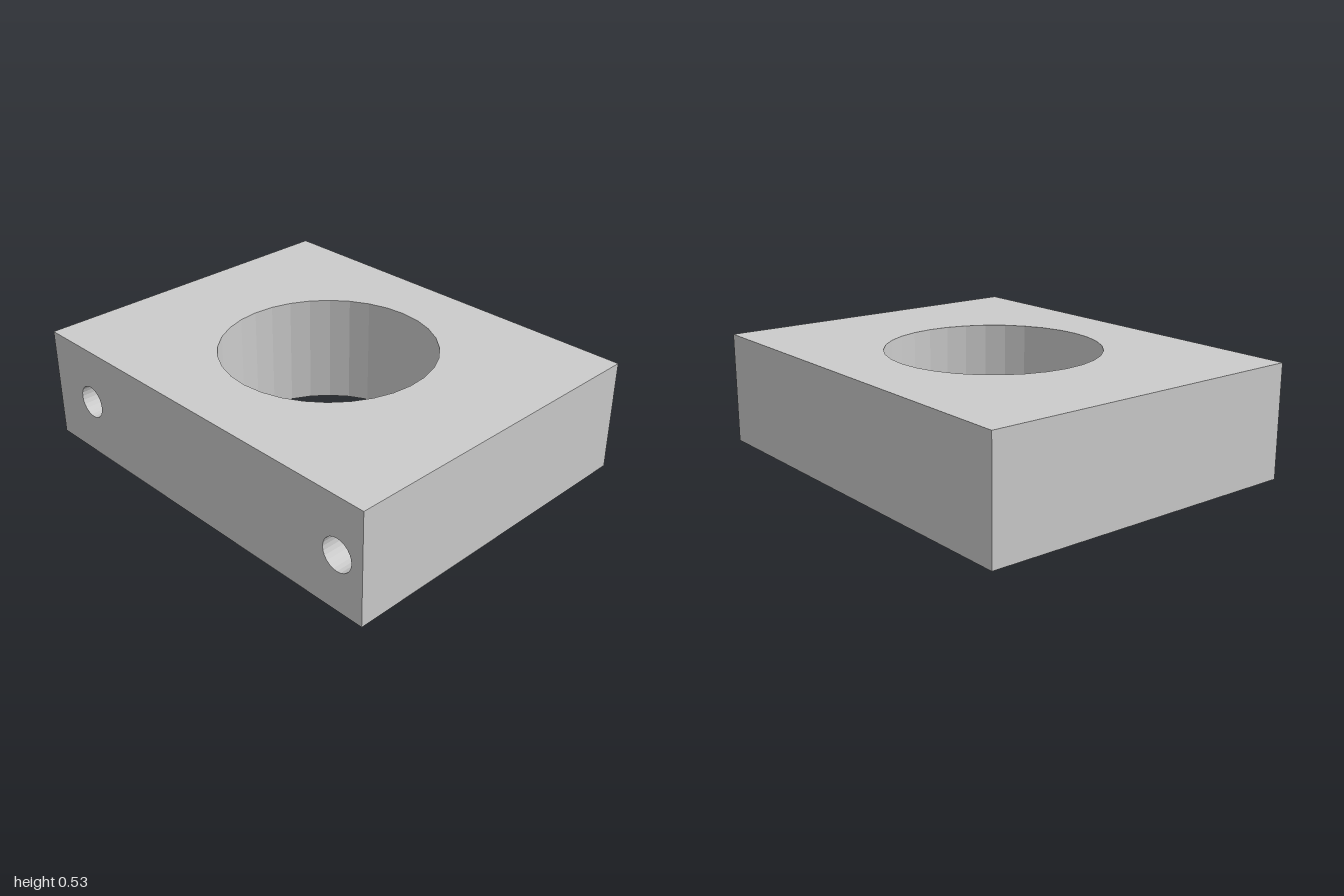
import * as THREE from 'three';

const W = 2, H = 0.533, D = 1.6;
const BORE = { r: 0.5, sides: 32 };
const PIN = { r: 0.077, sides: 24, depth: 0.67, y: H / 2, xs: [-0.735, 0.865] };

const material = new THREE.MeshStandardMaterial({ color: 0xcccccc, flatShading: true });

// Polygonal circle used as a hole outline
function circlePath(x, y, r, sides) {
  const points = [];
  for (let i = 0; i < sides; i++) {
    const a = (i / sides) * Math.PI * 2;
    points.push(new THREE.Vector2(x + r * Math.cos(a), y + r * Math.sin(a)));
  }
  return new THREE.Path(points);
}

// Flat rectangle centred on the origin, facing +z, with optional holes
function plate(w, h, holes = []) {
  const shape = new THREE.Shape([
    new THREE.Vector2(-w / 2, -h / 2), new THREE.Vector2(w / 2, -h / 2),
    new THREE.Vector2(w / 2, h / 2), new THREE.Vector2(-w / 2, h / 2),
  ]);
  shape.holes.push(...holes);
  return new THREE.ShapeGeometry(shape);
}

// Open cylinder along y whose faces look inward
function holeWall(r, length, sides) {
  const g = new THREE.CylinderGeometry(r, r, length, sides, 1, true).toNonIndexed();
  g.scale(-1, 1, 1);
  const p = g.attributes.position;
  // Mirrored triangles already wind inward, so only the normals are rebuilt
  p.needsUpdate = true;
  g.computeVertexNormals();
  return g;
}

export function createModel() {
  const model = new THREE.Group();
  model.name = 'drilledBlock';
  const add = (name, geometry) => {
    const mesh = new THREE.Mesh(geometry, material);
    mesh.name = name;
    model.add(mesh);
  };

  // Top and bottom faces, pierced by the central bore
  const bore = () => [circlePath(0, 0, BORE.r, BORE.sides)];
  add('topFace', plate(W, D, bore()).rotateX(-Math.PI / 2).translate(0, H, 0));
  add('bottomFace', plate(W, D, bore()).rotateX(Math.PI / 2));
  add('boreWall', holeWall(BORE.r, H, BORE.sides).translate(0, H / 2, 0));

  // Side and back faces
  for (const s of [1, -1]) {
    add(s > 0 ? 'leftFace' : 'rightFace',
      plate(D, H).rotateY(s * Math.PI / 2).translate(s * W / 2, H / 2, 0));
  }
  add('backFace', plate(W, H).rotateY(Math.PI).translate(0, H / 2, -D / 2));

  // Front face with two blind pin holes
  const pinHoles = PIN.xs.map((x) => circlePath(x, PIN.y - H / 2, PIN.r, PIN.sides));
  add('frontFace', plate(W, H, pinHoles).translate(0, H / 2, D / 2));
  for (const x of PIN.xs) {
    add('pinHoleWall', holeWall(PIN.r, PIN.depth, PIN.sides)
      .rotateX(Math.PI / 2).translate(x, PIN.y, D / 2 - PIN.depth / 2));
    add('pinHoleEnd', new THREE.CircleGeometry(PIN.r, PIN.sides)
      .translate(x, PIN.y, D / 2 - PIN.depth));
  }
  return model;
}
